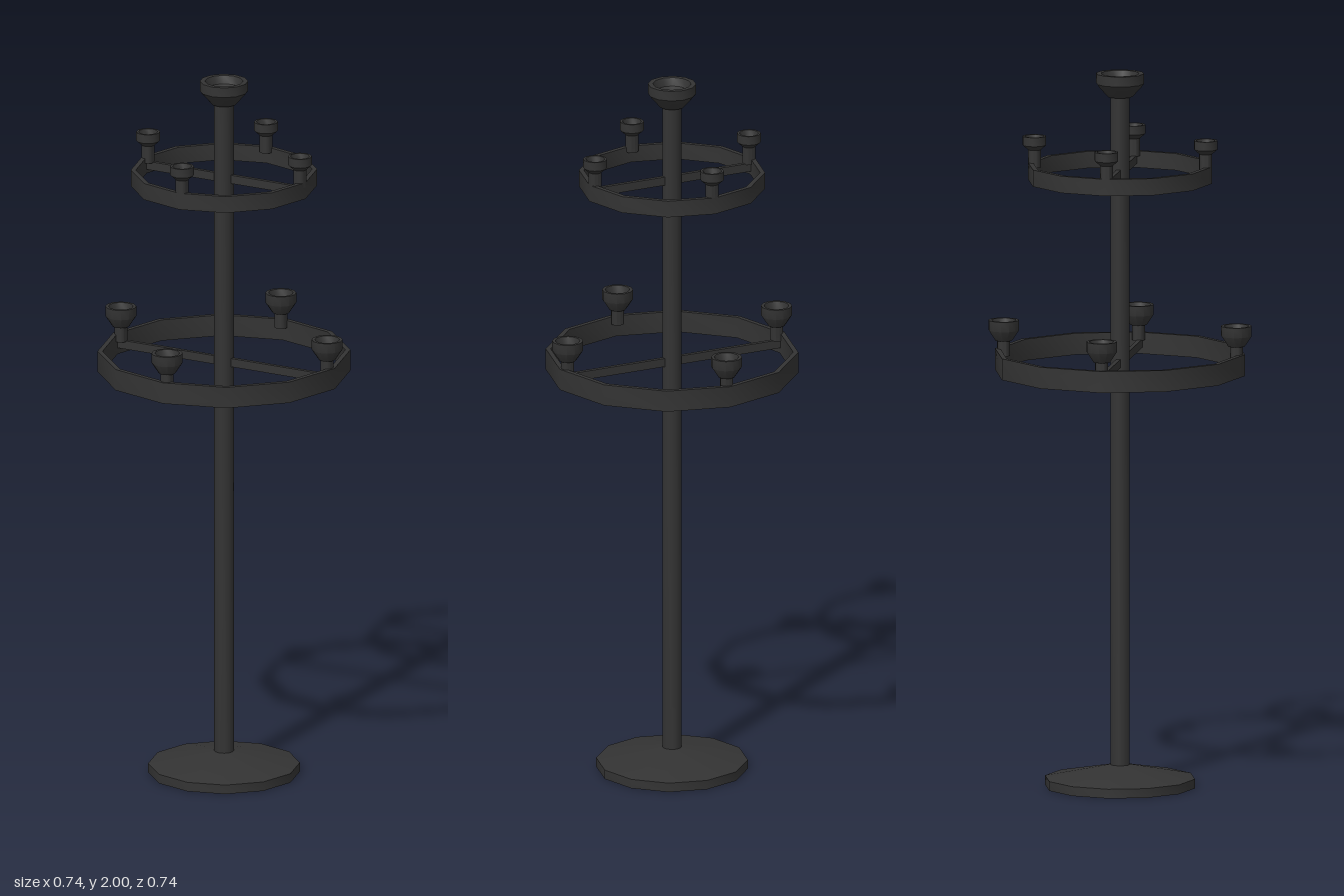
import * as THREE from 'three';
import { toCreasedNormals } from 'three/addons/utils/BufferGeometryUtils.js';

export function createModel() {
  const model = new THREE.Group();
  model.name = 'candelabrum';
  const iron = new THREE.MeshStandardMaterial({ color: 0x333333 });
  iron.name = 'dark iron';

  const add = (name, geometry, parent = model) => {
    const mesh = new THREE.Mesh(geometry, iron);
    mesh.name = name;
    parent.add(mesh);
    return mesh;
  };
  // Twelve-sided turned part from [radius, height] pairs, listed bottom to top
  const turned = (profile) => toCreasedNormals(
    new THREE.LatheGeometry(profile.map(([r, y]) => new THREE.Vector2(r, y)), 12), 0.6);

  // Foot, pole and the large cup on top
  add('base', turned([[0, 0], [0.21, 0], [0.21, 0.026], [0.027, 0.062], [0, 0.062]]));
  add('pole', turned([[0, 0.05], [0.027, 0.05], [0.027, 1.95], [0, 1.95]]));
  add('topCup', turned([[0, 1.935], [0.035, 1.935], [0.062, 1.965], [0.067, 1.972], [0.067, 2],
    [0.053, 2], [0.045, 1.978], [0.025, 1.965], [0, 1.962]]));

  // Each tier: a flat-sided hoop, a crossbar and four candle cups
  const tiers = [
    { name: 'lowerTier', r: 0.35, y0: 1.16, y1: 1.22, orbit: 0.326, cup: 0.043, stem: 0.018, neck: 1.243, lip: 1.272, top: 1.3 },
    { name: 'upperTier', r: 0.258, y0: 1.697, y1: 1.744, orbit: 0.24, cup: 0.033, stem: 0.018, neck: 1.78, lip: 1.793, top: 1.818 },
  ];
  for (const t of tiers) {
    const tier = new THREE.Group();
    tier.name = t.name;
    model.add(tier);
    const inner = t.r - 0.014;
    add('hoop', turned([[inner, t.y0], [t.r, t.y0], [t.r, t.y1], [inner, t.y1], [inner, t.y0]]), tier);

    const bar = add('crossbar', new THREE.BoxGeometry(2 * inner, 0.024, 0.012), tier);
    bar.position.y = (t.y0 + t.y1) / 2;
    bar.rotation.y = -0.015;

    const bottom = (t.y0 + t.y1) / 2 + 0.01;
    const cup = turned([[0, bottom], [t.stem, bottom], [t.stem, t.neck], [t.cup * 0.55, t.neck],
      [t.cup, t.lip], [t.cup, t.top], [t.cup * 0.8, t.top], [t.cup * 0.65, t.lip + 0.006],
      [0, t.lip - 0.004]]);
    for (let i = 0; i < 4; i++) {
      const a = i * Math.PI / 2;
      add('candleCup', cup, tier).position.set(Math.sin(a) * t.orbit, 0, Math.cos(a) * t.orbit);
    }
  }
  return model;
}
